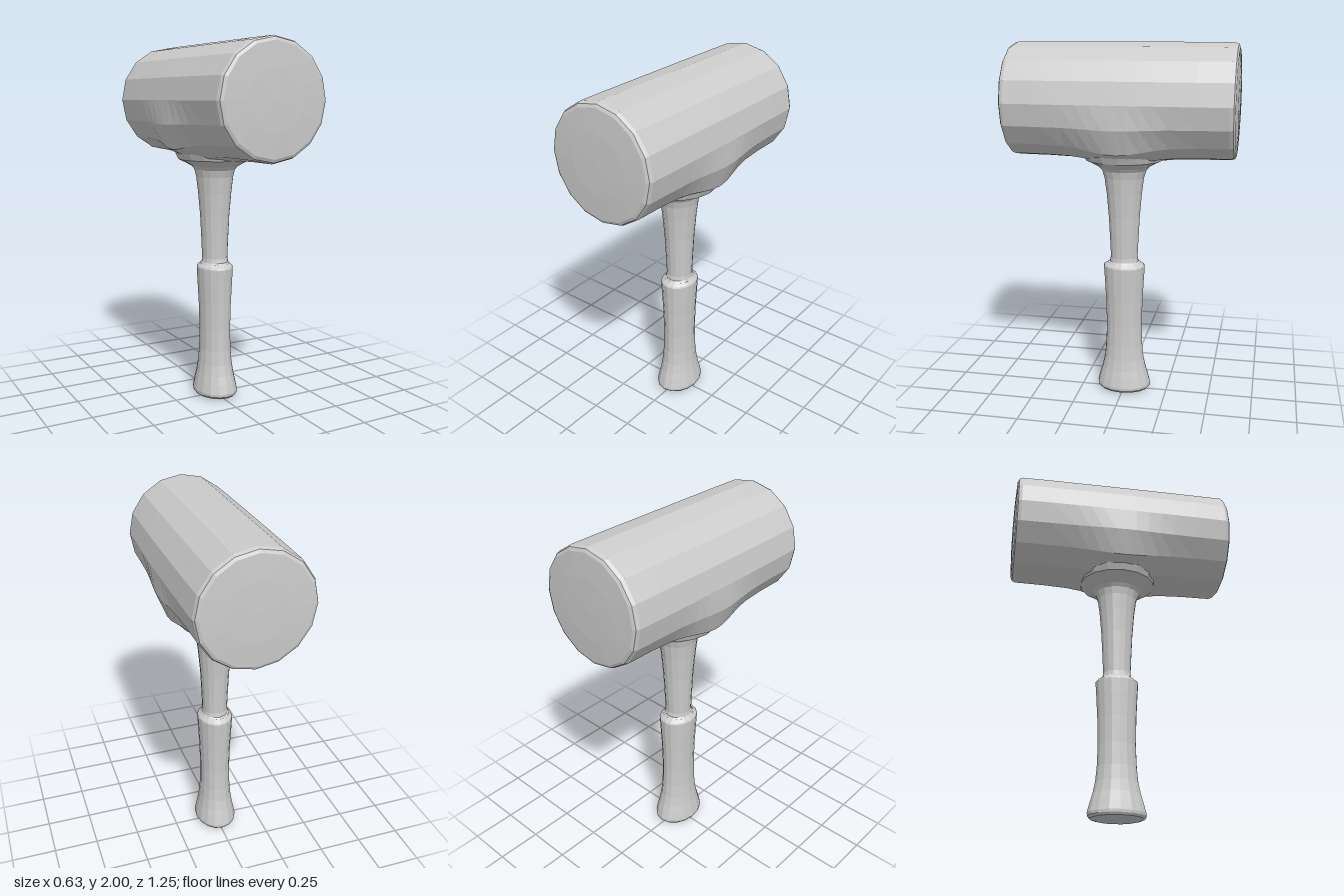
import * as THREE from 'three';

const SIDES = 16;
const material = new THREE.MeshStandardMaterial({ color: 0xcccccc, flatShading: true });

// Skin a row of cross-sections; point(section, angle) gives [x, y, z]
function loft(name, sections, point) {
  const positions = [], index = [];
  sections.forEach((section, i) => {
    for (let j = 0; j < SIDES; j++) {
      positions.push(...point(section, (j / SIDES) * Math.PI * 2));
      if (i === 0) continue;
      const k = (j + 1) % SIDES, lo = (i - 1) * SIDES, hi = i * SIDES;
      index.push(lo + j, lo + k, hi + k, lo + j, hi + k, hi + j);
    }
  });
  const geometry = new THREE.BufferGeometry();
  geometry.setAttribute('position', new THREE.Float32BufferAttribute(positions, 3));
  geometry.setIndex(index);
  geometry.computeVertexNormals();
  const mesh = new THREE.Mesh(geometry, material);
  mesh.name = name;
  return mesh;
}

// Handle sections are ellipses: [height, half width, half depth]
const ellipse = ([y, rx, rz], a) => [rx * Math.cos(a), y, -rz * Math.sin(a)];

// Head sections are [z, radius]; the underside swells towards the neck
function headPoint([z, radius], a) {
  const swell = Math.exp(-((z / 0.2) ** 2));
  const down = Math.max(0, -Math.sin(a));
  const lower = THREE.MathUtils.smoothstep(down, 0.1, 0.72);
  const r = radius + swell * lower * (0.06 - 0.02 * THREE.MathUtils.smoothstep(down, 0.75, 1));
  // slight barrel swelling at the sides only
  const side = 1 + 0.02 * Math.cos(a) ** 2 * (1 - (z / 0.625) ** 2);
  return [r * side * Math.cos(a), 1.69 + r * Math.sin(a), z];
}

export function createModel() {
  const group = new THREE.Group();
  group.name = 'mallet';

  // Barrel head with bevelled rims and shallow domed faces
  const half = [[0.625, 0], [0.622, 0.16], [0.615, 0.285], [0.607, 0.301], [0.588, 0.309]];
  const back = half.map(([z, r]) => [-z, r]);
  const middle = [-0.42, -0.28, -0.2, -0.13, -0.06, 0, 0.06, 0.13, 0.2, 0.28, 0.42].map((z) => [z, 0.31]);
  group.add(loft('head', [...back, ...middle, ...half.slice().reverse()], headPoint));

  // Neck flaring out into the underside of the head
  group.add(loft('neck', [
    [0.74, 0.075, 0.082], [0.775, 0.083, 0.096], [0.787, 0.074, 0.082], [0.81, 0.071, 0.077],
    [0.9, 0.074, 0.081], [1.05, 0.081, 0.089], [1.18, 0.092, 0.1], [1.27, 0.102, 0.112],
    [1.31, 0.111, 0.125], [1.33, 0.125, 0.142], [1.347, 0.158, 0.172],
    [1.368, 0.2, 0.215], [1.41, 0.22, 0.23],
  ], ellipse));

  // Grip with a collar at the top and a flared butt
  group.add(loft('grip', [
    [0, 0, 0], [0.006, 0.09, 0.117], [0.013, 0.111, 0.143], [0.025, 0.119, 0.154], [0.04, 0.12, 0.156],
    [0.09, 0.111, 0.143], [0.14, 0.101, 0.128], [0.2, 0.093, 0.115], [0.28, 0.087, 0.107],
    [0.4, 0.085, 0.103], [0.55, 0.089, 0.107], [0.68, 0.096, 0.114],
    [0.755, 0.099, 0.119], [0.763, 0.096, 0.115], [0.778, 0.081, 0.093], [0.782, 0, 0],
  ], ellipse));

  return group;
}
